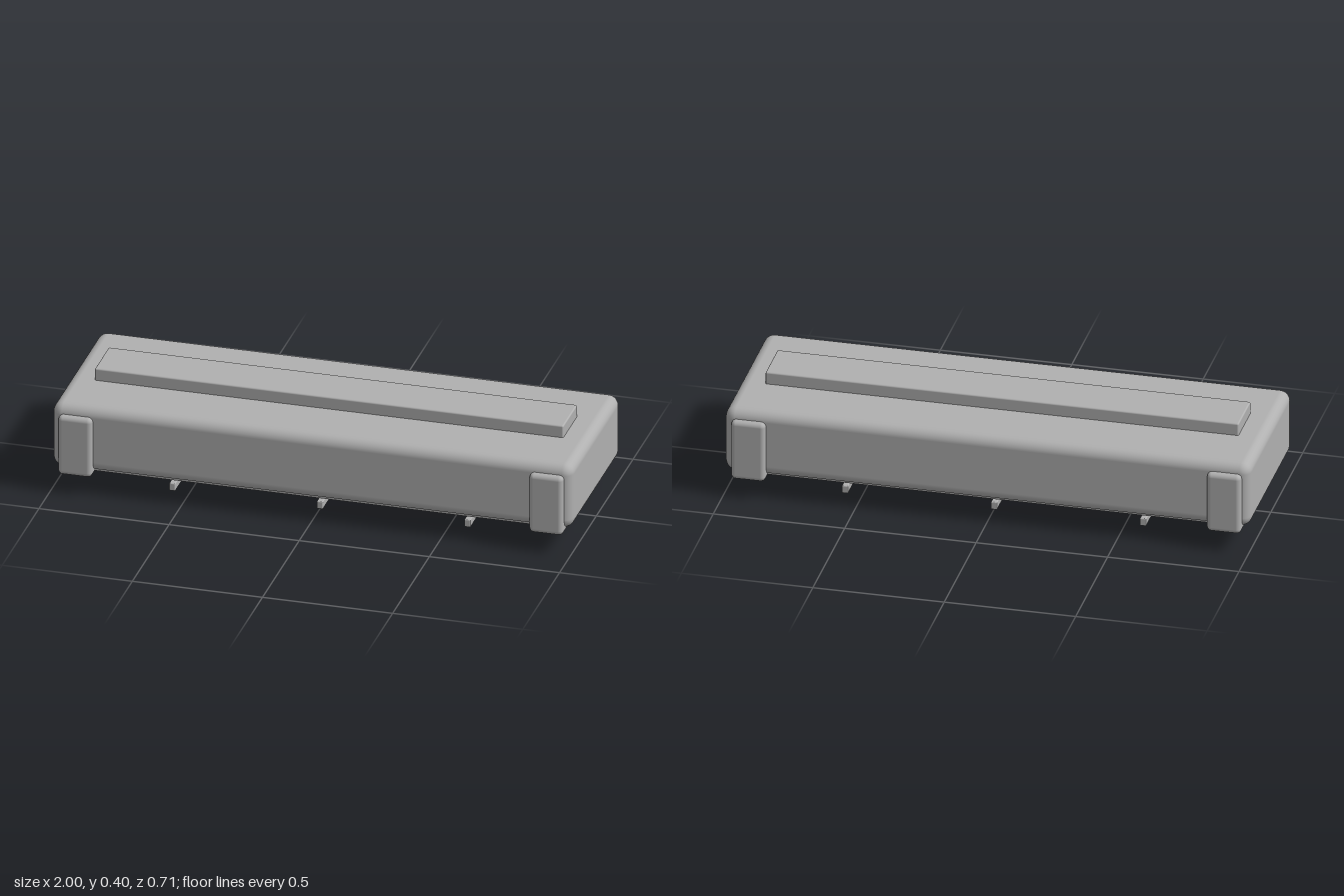
import * as THREE from 'three';
import { RoundedBoxGeometry } from 'three/addons/geometries/RoundedBoxGeometry.js';

export function createModel() {
  const model = new THREE.Group();
  model.name = 'casing';
  const grey = new THREE.MeshStandardMaterial({ color: 0xb0b0b0 });
  grey.name = 'plain grey';

  // Rounded block centred on x and z, spanning y0 to y1
  function block(name, width, y0, y1, depth, radius, x = 0, z = 0) {
    const geometry = new RoundedBoxGeometry(width, y1 - y0, depth, 3, radius);
    const mesh = new THREE.Mesh(geometry, grey);
    mesh.name = name;
    mesh.position.set(x, (y0 + y1) / 2, z);
    model.add(mesh);
  }

  // Main body and raised strip on top
  block('body', 2, 0.092, 0.352, 0.666, 0.04);
  block('topStrip', 1.8, 0.3, 0.4, 0.19, 0.006);

  // Stepped plates beneath the body
  block('upperPlate', 1.77, 0.062, 0.115, 0.526, 0.009);
  block('middlePlate', 1.63, 0.043, 0.1, 0.42, 0.009);
  block('lowerPlate', 1.55, 0.029, 0.09, 0.336, 0.009);

  // Bands across both ends, with three small tabs under each
  for (const side of [-1, 1]) {
    block('endBand', 0.13, 0.076, 0.316, 0.712, 0.018, side * 0.905);
    for (const z of [-0.157, 0, 0.157]) {
      block('tab', 0.1, 0.063, 0.08, 0.042, 0.003, side * 0.89, z);
    }
  }

  // Thin cross bars it rests on
  for (const x of [-0.567, 0, 0.567]) {
    block('crossBar', 0.024, 0, 0.031, 0.444, 0.004, x);
  }

  return model;
}
